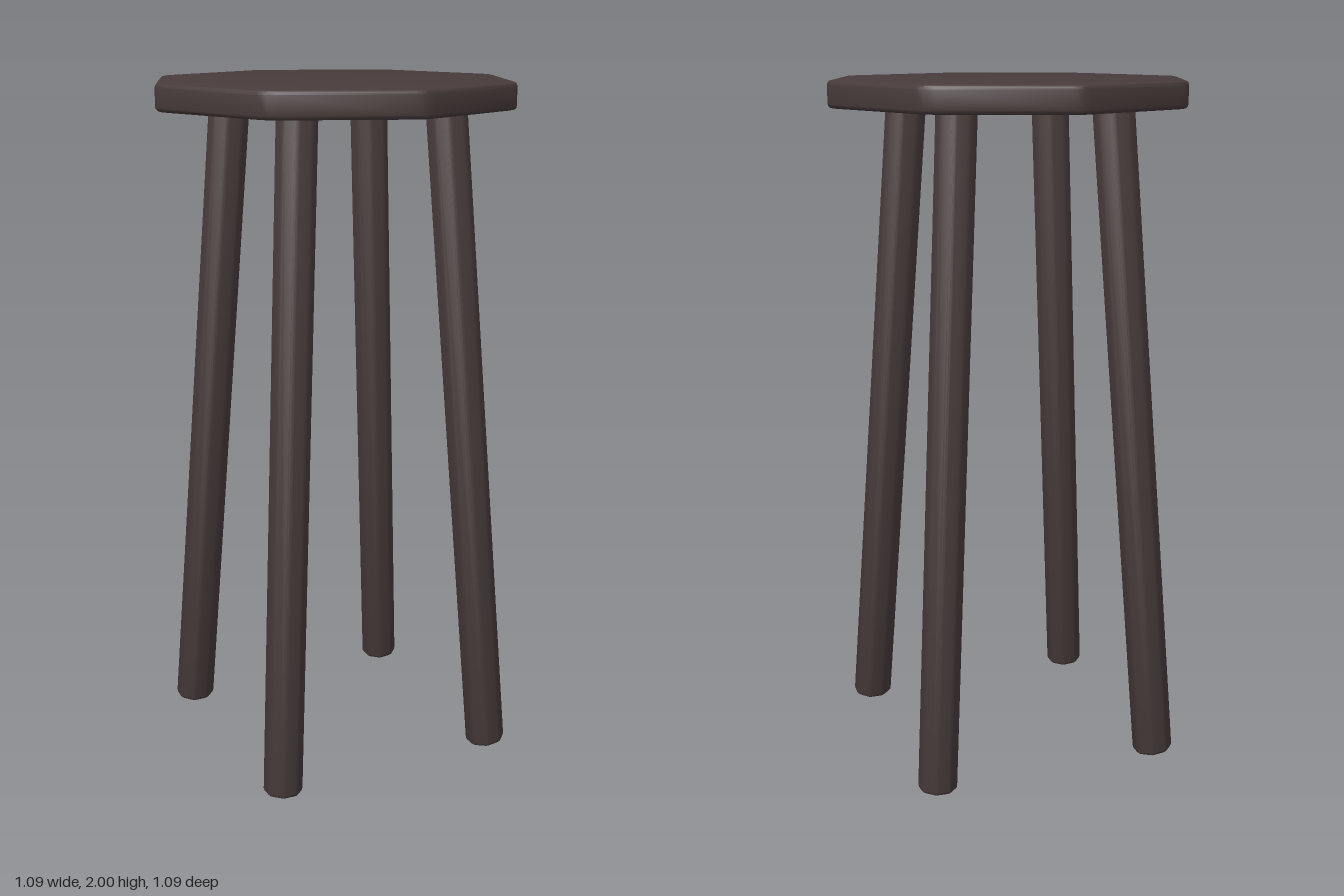
import * as THREE from 'three';
import { toCreasedNormals } from 'three/addons/utils/BufferGeometryUtils.js';

// Upright octagonal prism on y = 0, with softened corners and bevelled rims.
function softOctagon(radius, cut, height, bevel, phase) {
  const corner = (i) => {
    const a = phase + (i * Math.PI) / 4;
    return new THREE.Vector2(Math.cos(a) * radius, Math.sin(a) * radius);
  };
  const points = [];
  for (let i = 0; i < 8; i++) {
    const c = corner(i);
    const toward = (p) => p.sub(c).setLength(cut).add(c);
    const before = toward(corner(i - 1));
    const after = toward(corner(i + 1));
    const mid = before.clone().add(after).multiplyScalar(0.25).addScaledVector(c, 0.5);
    points.push(before, mid, after);
  }
  const geometry = new THREE.ExtrudeGeometry(new THREE.Shape(points), {
    depth: height - 2 * bevel,
    bevelThickness: bevel,
    bevelSize: bevel,
    bevelOffset: -bevel,
    bevelSegments: 3,
  });
  geometry.translate(0, 0, bevel).rotateX(-Math.PI / 2);
  return toCreasedNormals(geometry, 0.6);
}

export function createModel() {
  const stool = new THREE.Group();
  stool.name = 'stool';
  const darkWood = new THREE.MeshStandardMaterial({ color: 0x483b3b });
  darkWood.name = 'dark wood';

  // Seat: corners point along the axes
  const seat = new THREE.Mesh(softOctagon(0.535, 0.03, 0.075, 0.012, 0), darkWood);
  seat.name = 'seat';
  seat.position.set(-0.007, 1.925, 0.002);
  stool.add(seat);

  // Four legs, splayed outward and ending inside the seat
  const legGeometry = softOctagon(0.0595, 0.008, 1.94, 0.009, Math.PI / 8);
  const up = new THREE.Vector3(0, 1, 0);
  const legs = [
    ['leftLeg', 1, 0], ['rightLeg', -1, 0], ['frontLeg', 0, 1], ['backLeg', 0, -1],
  ];
  for (const [name, x, z] of legs) {
    const leg = new THREE.Mesh(legGeometry, darkWood);
    leg.name = name;
    const foot = new THREE.Vector3(x * 0.49, 0.005, z * 0.49);
    const top = new THREE.Vector3(x * 0.325, 1.925, z * 0.325);
    leg.position.copy(foot);
    leg.quaternion.setFromUnitVectors(up, top.sub(foot).normalize());
    // Side legs are slightly deeper than wide
    leg.scale.set(x ? 1 : 0.97, 1, x ? 1.14 : 1);
    stool.add(leg);
  }
  return stool;
}
